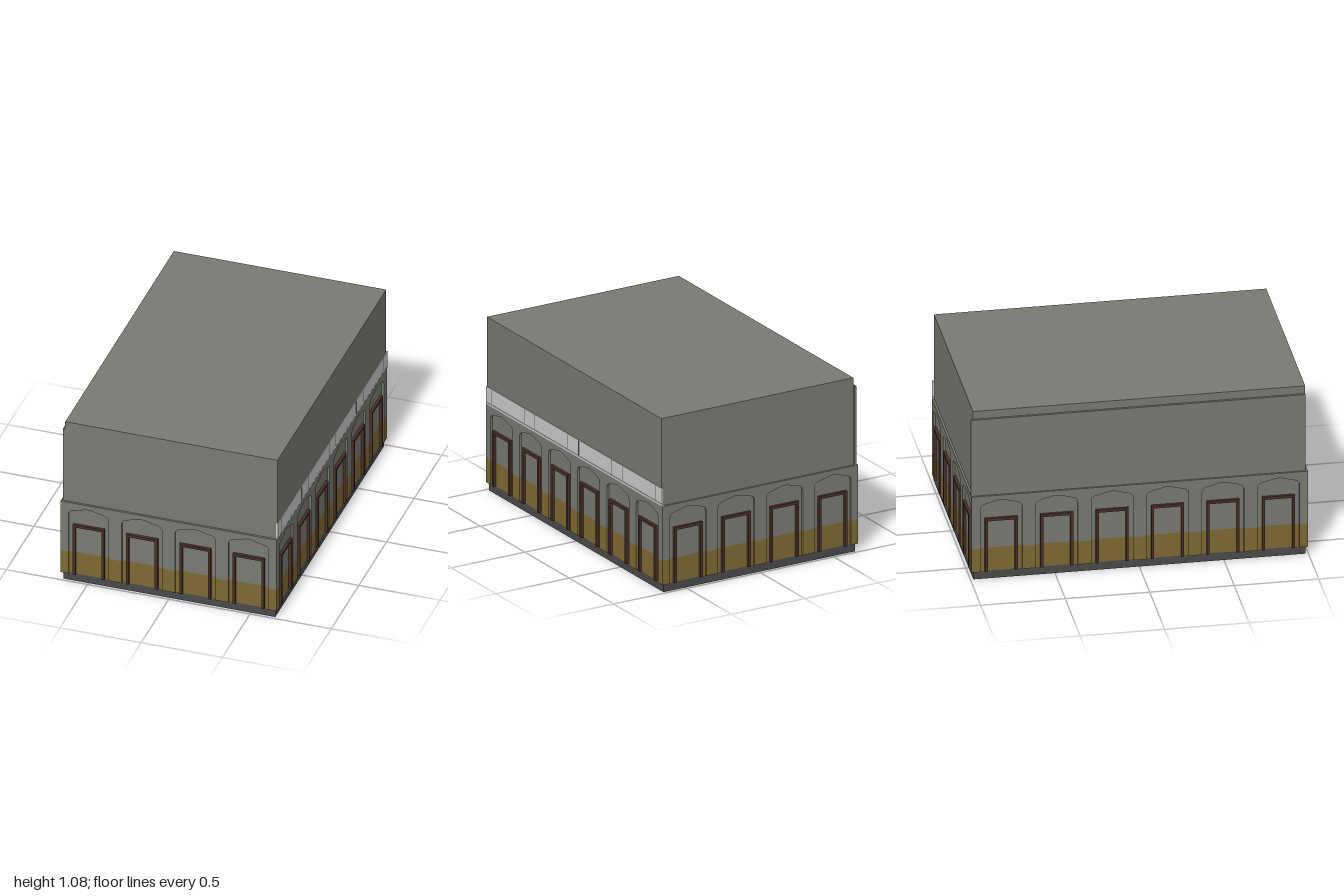
import * as THREE from 'three';

const mat = (name, color) => {
  const m = new THREE.MeshStandardMaterial({ color });
  m.name = name;
  return m;
};

export function createModel() {
  const grey = mat('grey plaster', 0x797a72);
  const ochre = mat('ochre dado', 0x7d6933);
  const stone = mat('dark plinth', 0x4a4a4c);
  const brown = mat('brown frame', 0x4a2f28);
  const white = mat('pale band', 0xcacaca);
  const seamGrey = mat('seam grey', 0x666662);

  const model = new THREE.Group();
  model.name = 'building';

  // Box given by its minimum and maximum corners
  function box(parent, name, material, x0, x1, y0, y1, z0, z1) {
    const mesh = new THREE.Mesh(new THREE.BoxGeometry(x1 - x0, y1 - y0, z1 - z0), material);
    mesh.position.set((x0 + x1) / 2, (y0 + y1) / 2, (z0 + z1) / 2);
    mesh.name = name;
    parent.add(mesh);
    return mesh;
  }

  const X0 = -0.655, X1 = 0.65, Z = 0.983;
  const BASE = 0.05, DADO = 0.2, EAVE = 0.54;

  // Main masses
  box(model, 'plinth', stone, X0, X1, 0, BASE, -Z, Z);
  box(model, 'lowerCoreDado', ochre, X0, X1, BASE, DADO, -Z, Z);
  box(model, 'lowerCore', grey, X0, X1, DADO, EAVE, -Z, Z);
  box(model, 'upperStorey', grey, -0.643, 0.664, EAVE, 1.083, -Z, Z);
  box(model, 'leftUpperPanel', grey, -0.657, -0.643, EAVE, 1.033, -0.998, Z);

  const SLAB = 0.013, FRAME = 0.017, PITCH = 0.328, HALF = 0.124;

  // Arcaded wall: u runs along the wall, z = 0 is the back of the niches
  function arcade(name, count, offset, u0, u1) {
    const wall = new THREE.Group();
    wall.name = name;
    const centres = Array.from({ length: count }, (_, i) => offset + (i - (count - 1) / 2) * PITCH);

    // Plaster above the dado, notched by the pointed niches
    const s = new THREE.Shape();
    s.moveTo(u0, DADO);
    for (const c of centres) {
      s.lineTo(c - HALF, DADO);
      s.lineTo(c - HALF, 0.455);
      s.quadraticCurveTo(c - HALF, 0.482, c - 0.095, 0.488);
      s.lineTo(c - 0.025, 0.506);
      s.quadraticCurveTo(c, 0.513, c + 0.025, 0.506);
      s.lineTo(c + 0.095, 0.488);
      s.quadraticCurveTo(c + HALF, 0.482, c + HALF, 0.455);
      s.lineTo(c + HALF, DADO);
    }
    s.lineTo(u1, DADO);
    s.lineTo(u1, EAVE);
    s.lineTo(u0, EAVE);
    s.closePath();
    const slab = new THREE.Mesh(
      new THREE.ExtrudeGeometry(s, { depth: SLAB, bevelEnabled: false, curveSegments: 5 }), grey);
    slab.name = 'archedWall';
    wall.add(slab);

    // Dado piers between the niches
    const edges = [u0, ...centres.flatMap(c => [c - HALF, c + HALF]), u1];
    for (let i = 0; i < edges.length; i += 2) {
      box(wall, 'dadoPier', ochre, edges[i], edges[i + 1], BASE, DADO, 0, SLAB);
    }

    // Door frames
    for (const c of centres) {
      for (const side of [-1, 1]) {
        const m = c + side * 0.0885;
        box(wall, 'doorJamb', brown, m - 0.008, m + 0.008, BASE, 0.394, 0, FRAME);
      }
      box(wall, 'doorLintel', brown, c - 0.0805, c + 0.0805, 0.377, 0.394, 0, FRAME);
    }
    model.add(wall);
    return wall;
  }

  arcade('frontArcade', 4, -0.003, -0.668, X1).position.z = Z;

  const back = arcade('backArcade', 4, 0.003, -0.663, 0.655);
  back.rotation.y = Math.PI;
  back.position.z = -Z;

  const right = arcade('rightArcade', 6, -0.001, -0.996, Z);
  right.rotation.y = Math.PI / 2;
  right.position.x = X1;

  const left = arcade('leftArcade', 6, 0.001, -0.996, Z);
  left.rotation.y = -Math.PI / 2;
  left.position.x = X0;

  // Pale band and ledge along one long side, with vertical seams
  box(model, 'bandLedge', white, 0.655, 0.667, EAVE, 0.553, -0.995, 0.985);
  box(model, 'paleBand', white, 0.655, 0.668, 0.556, 0.652, -0.995, 0.985);
  for (const z of [0.925, 0.555, 0.435, 0.065, -0.057, -0.43, -0.55, -0.922]) {
    box(model, 'bandSeam', seamGrey, 0.667, 0.669, 0.56, 0.647, z - 0.003, z + 0.003);
  }
  return model;
}
